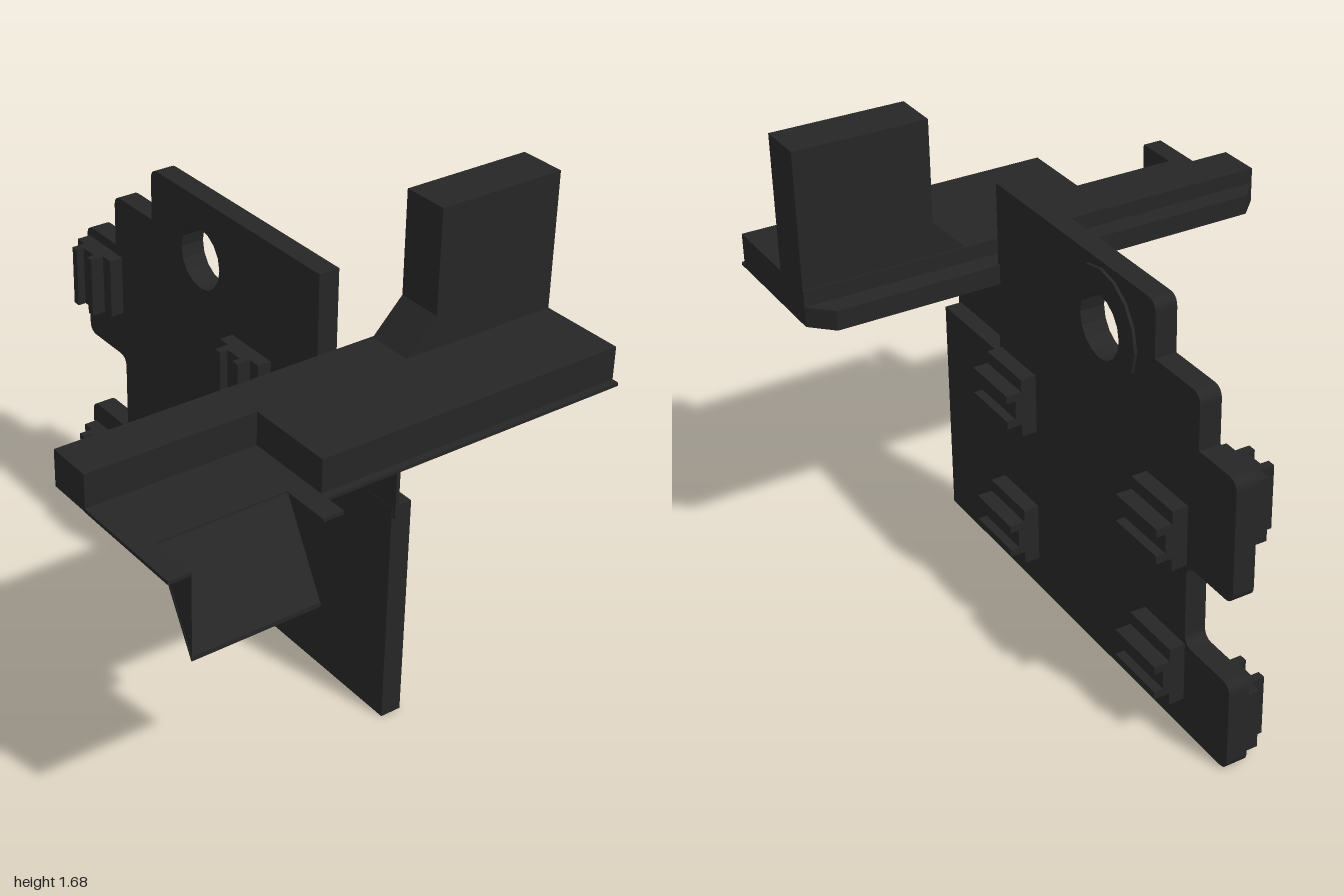
import * as THREE from 'three';

const dark = new THREE.MeshStandardMaterial({ color: 0x262626, flatShading: true });
const darkSheet = new THREE.MeshStandardMaterial({ color: 0x262626, flatShading: true, side: THREE.DoubleSide });

// Box given by its minimum and maximum corners
function box(name, [x0, y0, z0], [x1, y1, z1]) {
  const mesh = new THREE.Mesh(new THREE.BoxGeometry(x1 - x0, y1 - y0, z1 - z0), dark);
  mesh.position.set((x0 + x1) / 2, (y0 + y1) / 2, (z0 + z1) / 2);
  mesh.name = name;
  return mesh;
}

// Outline with optional corner radius as the third entry of each point
function outline(points) {
  const shape = new THREE.Shape();
  points.forEach(([x, y, r = 0], i) => {
    const p = new THREE.Vector2(x, y);
    const toward = (q) => new THREE.Vector2(q[0], q[1]).sub(p).setLength(r).add(p);
    const a = r ? toward(points[(i + points.length - 1) % points.length]) : p;
    const b = r ? toward(points[(i + 1) % points.length]) : p;
    if (i === 0) shape.moveTo(a.x, a.y);
    else shape.lineTo(a.x, a.y);
    if (r) shape.quadraticCurveTo(x, y, b.x, b.y);
  });
  shape.closePath();
  return shape;
}

// Extrude a shape drawn in (-z, y) from x0 to x1
function sidePlate(name, shape, x0, x1) {
  const geo = new THREE.ExtrudeGeometry(shape, { depth: x1 - x0, bevelEnabled: false, curveSegments: 8 });
  geo.rotateY(Math.PI / 2);
  geo.translate(x0, 0, 0);
  const mesh = new THREE.Mesh(geo, dark);
  mesh.name = name;
  return mesh;
}
const zy = (pts) => outline(pts.map(([z, y, r]) => [-z, y, r]));

// Circular hole or disc centred on the boss
function circle(Type, r) {
  const c = new Type();
  c.absarc(0.285, 1.225, r, 0, Math.PI * 2, Type === THREE.Path);
  return c;
}

export function createModel() {
  const model = new THREE.Group();

  // Upright plate with stepped rear edge
  const plate = zy([
    [0.745, 0], [-1, 0, 0.04], [-1, 0.33, 0.04], [-0.76, 0.33, 0.04], [-0.76, 0.63, 0.04],
    [-1, 0.63, 0.04], [-1, 1.06, 0.04], [-0.81, 1.06], [-0.81, 1.25, 0.04], [-0.575, 1.25],
    [-0.575, 1.44, 0.04], [0.355, 1.44], [0.355, 1.08], [0.42, 1.08], [0.42, 0.98],
    [0.36, 0.92], [0.36, 0.83], [0.38, 0.81], [0.745, 0.81]]);
  plate.holes.push(circle(THREE.Path, 0.11));
  model.add(sidePlate('uprightPlate', plate, 0.12, 0.195));

  // Raised ring round the hole
  const ring = circle(THREE.Shape, 0.195);
  ring.holes.push(circle(THREE.Path, 0.11));
  model.add(sidePlate('holeRing', ring, 0.19, 0.206));

  // Thin tab on the front shoulder, with its pin
  model.add(sidePlate('shoulderTab', zy([
    [0.76, 0.775, 0.01], [0.76, 0.98, 0.01], [0.42, 0.98], [0.36, 0.92], [0.36, 0.81],
    [0.747, 0.81], [0.747, 0.775]]), 0.121, 0.134));
  const pin = new THREE.Mesh(new THREE.CylinderGeometry(0.016, 0.016, 0.055, 12), dark);
  pin.rotation.z = Math.PI / 2;
  pin.position.set(0.155, 0.955, 0.735);
  pin.name = 'tabPin';
  model.add(pin);

  // Clips on both faces: wide base, narrower step and two prongs
  const layers = [[0, 0.055, -0.107, 0.107], [0.055, 0.078, -0.062, 0.062],
    [0.078, 0.11, 0.034, 0.062], [0.078, 0.11, -0.062, -0.034]];
  for (const z of [-0.65, 0.237]) for (const y of [0.225, 0.735]) {
    const clip = new THREE.Group();
    clip.name = 'leftClip';
    for (const [d0, d1, a, b] of layers)
      clip.add(box('clipStep', [0.195 + d0, y + a, z - 0.112], [0.195 + d1, y + b, z + 0.112]));
    model.add(clip);
  }
  for (const z of [-0.878, 0.007]) for (const y of [0.142, 0.914]) {
    const clip = new THREE.Group();
    clip.name = 'rightClip';
    for (const [d0, d1, a, b] of layers)
      clip.add(box('clipStep', [0.12 - d1 * 0.9, y - 0.11, z + a], [0.12 - d0 * 0.9, y + 0.11, z + b]));
    model.add(clip);
  }

  // Cross arm: rear bar, deeper main body and front lip
  model.add(box('armRearBar', [-0.86, 1.08, 0.42], [-0.27, 1.205, 0.58]));
  model.add(box('armBody', [-0.27, 1.08, 0.42], [0.855, 1.205, 0.895]));
  model.add(box('armFrontLip', [-0.27, 1.078, 0.895], [0.855, 1.09, 0.92]));

  // Rear flange with bevelled ends
  const flangeGeo = new THREE.ExtrudeGeometry(
    outline([[-0.86, -0.42], [0.855, -0.42], [0.78, -0.345], [-0.785, -0.345]]),
    { depth: 0.07, bevelEnabled: false });
  flangeGeo.rotateX(-Math.PI / 2);
  flangeGeo.translate(0, 1.08, 0);
  const flange = new THREE.Mesh(flangeGeo, dark);
  flange.name = 'armRearFlange';
  model.add(flange);

  // Tall block with a sloped gusset
  const blockGeo = new THREE.ExtrudeGeometry(
    outline([[0.275, 1.2], [0.855, 1.2], [0.855, 1.68], [0.39, 1.68], [0.39, 1.32]]),
    { depth: 0.165, bevelEnabled: false });
  blockGeo.translate(0, 0, 0.425);
  const block = new THREE.Mesh(blockGeo, dark);
  block.name = 'tallBlock';
  model.add(block);

  // Low shelf with an opening at its front
  model.add(box('shelf', [-0.86, 1.078, 0.58], [-0.27, 1.09, 0.83]));
  model.add(box('shelfArm', [-0.86, 1.078, 0.83], [-0.787, 1.09, 1.0]));
  model.add(box('shelfArm', [-0.343, 1.078, 0.83], [-0.27, 1.09, 1.0]));

  // Sloped flap hanging below the opening, with triangular cheeks
  model.add(sidePlate('flap', zy([[0.83, 1.085], [0.84, 1.085], [1.0, 0.805], [1.0, 0.79]]), -0.787, -0.343));
  for (const x of [-0.785, -0.345]) {
    const geo = new THREE.ShapeGeometry(zy([[0.83, 1.085], [1.0, 1.085], [1.0, 0.79]]));
    geo.rotateY(Math.PI / 2);
    const cheek = new THREE.Mesh(geo, darkSheet);
    cheek.position.x = x;
    cheek.name = 'flapCheek';
    model.add(cheek);
  }
  return model;
}
